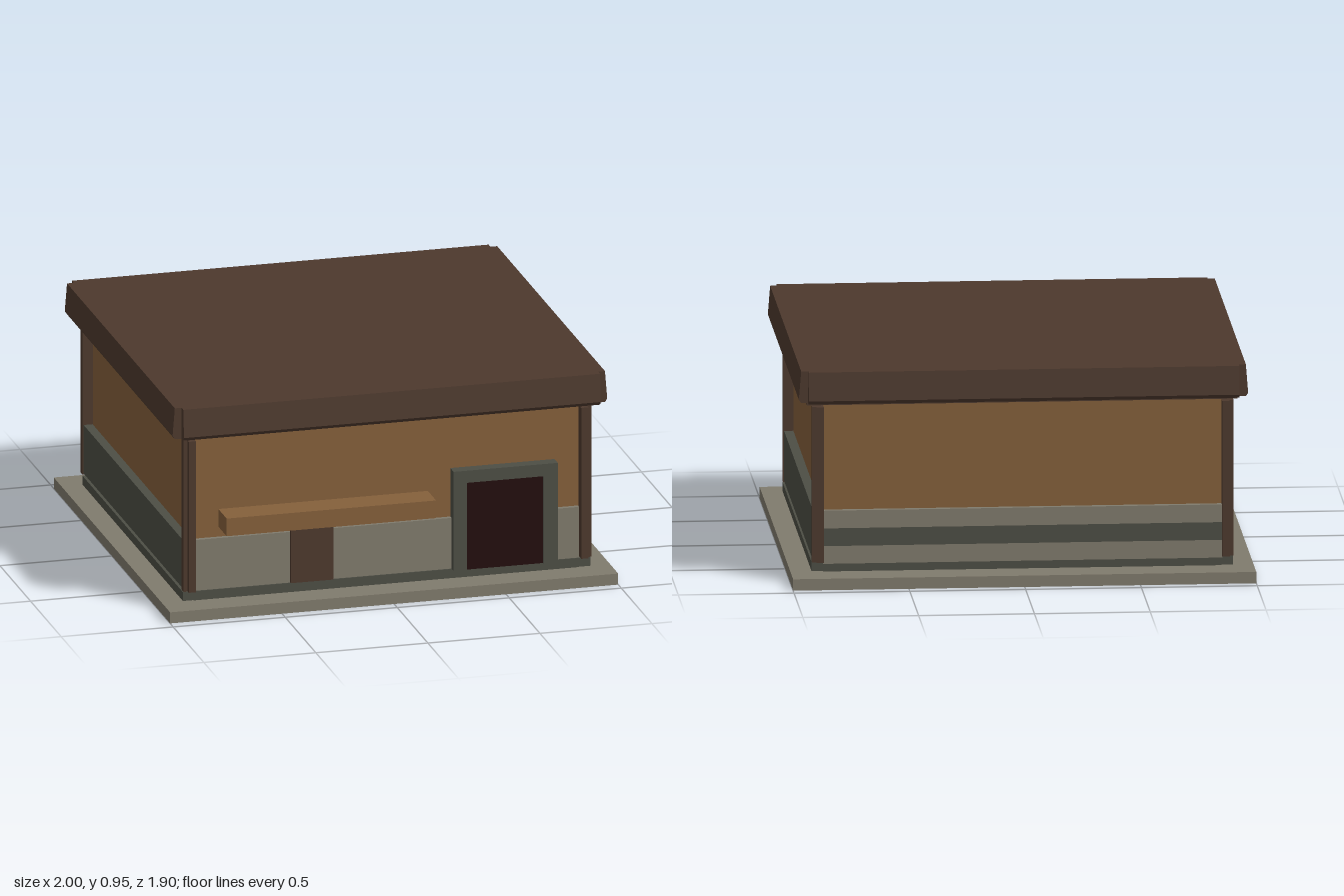
import * as THREE from 'three';

const mat = (name, color) => {
  const m = new THREE.MeshStandardMaterial({ color });
  m.name = name;
  return m;
};

export function createModel() {
  const model = new THREE.Group();
  model.name = 'building';
  const darkWood = mat('darkWood', 0x4d392d);
  const plaster = mat('tanWall', 0x85603b);
  const lightStone = mat('lightStone', 0x807b6d);
  const darkStone = mat('darkStone', 0x4d4e45);
  const doorway = mat('darkDoorway', 0x220c0c);

  // box given by its minimum and maximum corners
  const box = (name, material, [x0, y0, z0], [x1, y1, z1], parent = model) => {
    const g = new THREE.BoxGeometry(x1 - x0, y1 - y0, z1 - z0);
    g.translate((x0 + x1) / 2, (y0 + y1) / 2, (z0 + z1) / 2);
    const mesh = new THREE.Mesh(g, material);
    mesh.name = name;
    parent.add(mesh);
    return mesh;
  };

  // ground slab and plinth
  box('groundSlab', lightStone, [-1, 0, -0.95], [1, 0.05, 0.95]);
  box('plinthFoot', darkStone, [-0.86, 0.05, -0.8], [0.86, 0.06, 0.82]);
  box('plinth', darkStone, [-0.91, 0.055, -0.81], [0.91, 0.095, 0.83]);

  // wall core, with the projecting lower cladding
  box('walls', plaster, [-0.865, 0.09, -0.805], [0.865, 0.79, 0.805]);
  for (const s of [-1, 1]) {
    box('sideCladding', darkStone,
      [s > 0 ? 0.86 : -0.905, 0.105, -0.81], [s > 0 ? 0.905 : -0.86, 0.325, 0.81]);
  }
  box('frontCladding', lightStone, [-0.862, 0.095, 0.8], [0.862, 0.325, 0.825]);
  [lightStone, darkStone, lightStone].forEach((m, i) => {
    const y = 0.09 + i * 0.078;
    box('backCladdingBand', m, [-0.862, y, -0.83], [0.862, y + 0.078, -0.8]);
  });

  // corner posts, each notched on its outer edge
  for (const sx of [-1, 1]) for (const sz of [-1, 1]) {
    const post = new THREE.Group();
    post.name = 'cornerPost';
    const strip = (x0, x1, z0, z1) => box('postStrip', darkWood,
      [Math.min(sx * x0, sx * x1), 0.1, Math.min(sz * z0, sz * z1)],
      [Math.max(sx * x0, sx * x1), 0.785, Math.max(sz * z0, sz * z1)], post);
    strip(0.86, 0.91, 0.81, 0.842);
    strip(0.86, 0.892, 0.842, 0.86);
    model.add(post);
  }

  // roof with flared fascia boards that stop short of the corners
  box('eaveBeam', darkWood, [-0.93, 0.785, -0.812], [0.93, 0.815, 0.812]);
  box('roof', darkWood, [-0.93, 0.81, -0.88], [0.93, 0.95, 0.88]);
  const fascia = (length, distance, angle) => {
    const profile = new THREE.Shape([
      [0, 0.81], [0.03, 0.81], [0.04, 0.825], [0.03, 0.95], [0, 0.95],
    ].map(([x, y]) => new THREE.Vector2(x, y)));
    const g = new THREE.ExtrudeGeometry(profile, { depth: length, bevelEnabled: false });
    g.translate(distance, 0, -length / 2);
    const mesh = new THREE.Mesh(g, darkWood);
    mesh.name = 'fascia';
    mesh.rotation.y = angle;
    model.add(mesh);
  };
  for (const a of [0, Math.PI]) {
    fascia(1.76, 0.93, a);
    fascia(1.86, 0.88, a + Math.PI / 2);
  }

  // front awning beam and small door
  box('awning', plaster, [-0.745, 0.37, 0.8], [0.19, 0.45, 0.94]);
  box('smallDoor', darkWood, [-0.43, 0.095, 0.82], [-0.24, 0.345, 0.835]);

  // main entrance
  const frame = new THREE.Group();
  frame.name = 'entrance';
  box('frameLeft', darkStone, [0.29, 0.095, 0.8], [0.35, 0.545, 0.86], frame);
  box('frameRight', darkStone, [0.69, 0.095, 0.8], [0.755, 0.545, 0.86], frame);
  box('frameTop', darkStone, [0.35, 0.49, 0.8], [0.69, 0.545, 0.86], frame);
  box('doorway', doorway, [0.35, 0.095, 0.8], [0.69, 0.49, 0.856], frame);
  model.add(frame);

  return model;
}
